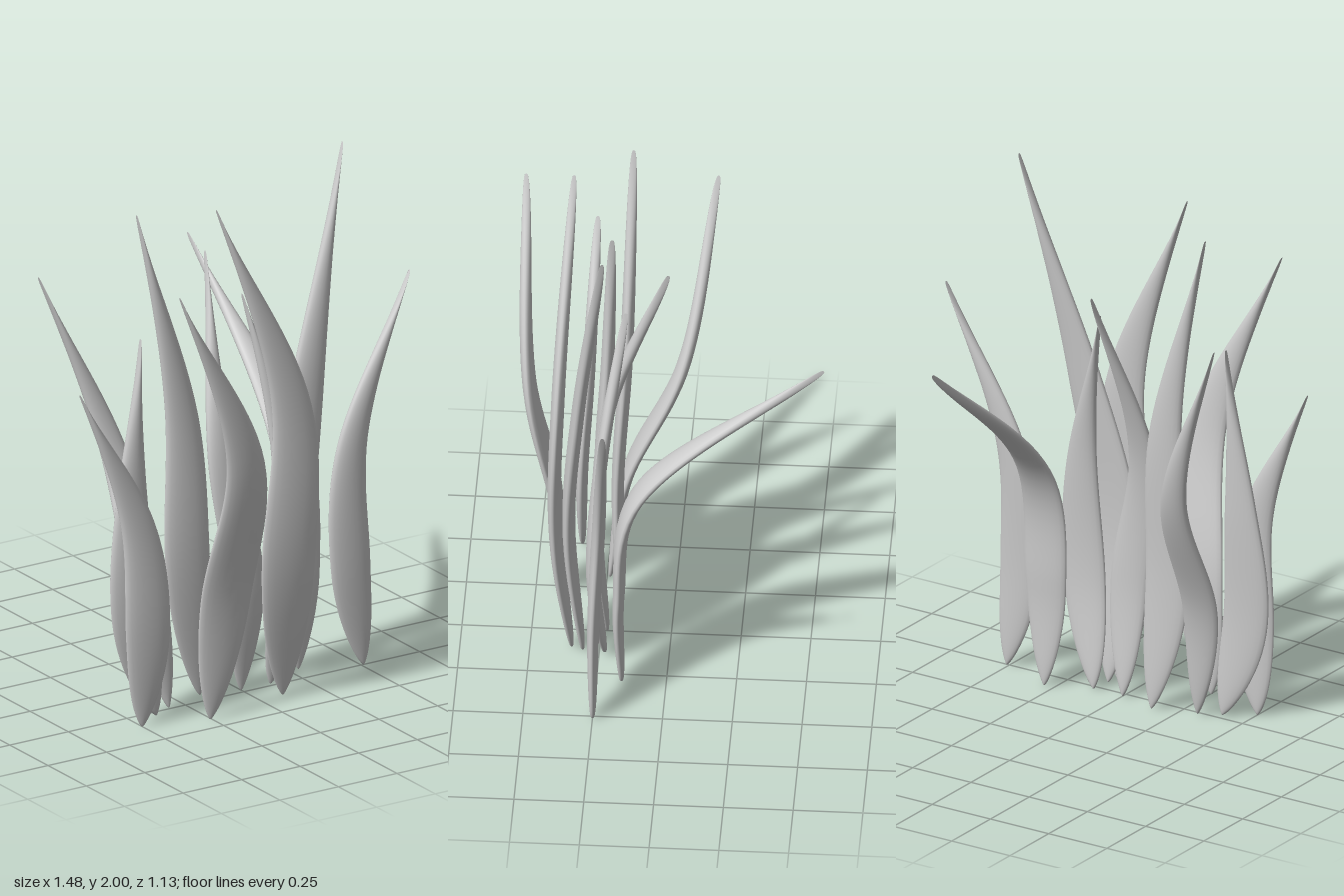
import * as THREE from 'three';

const RINGS = 56;
const SIDES = 20;
const THICKNESS = 0.048;

// Each blade: width, root x z, belly x z, shoulder x z, tip x y z
const BLADES = [
  [0.19, -0.50, 0.35, -0.475, 0.35, -0.505, 0.33, -0.74, 1.30, 0.31],
  [0.15, -0.315, 0.24, -0.365, 0.18, -0.385, -0.02, -0.63, 1.59, -0.13],
  [0.22, -0.255, 0.42, -0.19, 0.425, -0.17, 0.52, -0.47, 1.69, 0.55],
  [0.19, -0.395, 0.28, -0.49, 0.285, -0.485, 0.26, -0.435, 1.43, 0.24],
  [0.19, -0.15, 0.19, -0.21, 0.205, -0.22, 0.175, -0.40, 1.87, 0.16],
  [0.23, 0.10, 0.35, 0.085, 0.41, 0.105, 0.40, -0.19, 1.91, 0.36],
  [0.16, 0.0, 0.23, -0.005, 0.265, -0.085, 0.23, -0.01, 1.61, 0.01],
  [0.18, 0.125, 0.23, 0.19, 0.27, 0.185, 0.245, 0.05, 1.48, 0.16],
  [0.20, 0.115, 0.31, 0.11, 0.36, 0.225, 0.32, 0.44, 2.0, 0.22],
  [0.17, 0.51, 0.25, 0.455, 0.25, 0.475, 0.23, 0.74, 1.445, 0.20],
  [0.18, 0.29, 0.16, 0.29, 0.17, 0.29, 0.105, 0.29, 1.44, -0.565],
];

// Centre line: belly and shoulder sit at fixed fractions of the blade's height
function centreLine(rootX, rootZ, bellyX, bellyZ, shoulderX, shoulderZ, tipX, tipY, tipZ) {
  return new THREE.CatmullRomCurve3([
    new THREE.Vector3(rootX, 0, rootZ),
    new THREE.Vector3(bellyX, tipY * 0.27, bellyZ),
    new THREE.Vector3(shoulderX, tipY * 0.58, shoulderZ),
    new THREE.Vector3(tipX, tipY, tipZ),
  ], false, 'centripetal');
}

// Sweeps a flattened oval along the centre line, broad face turned to the front
function bladeGeometry(width, curve) {
  const positions = [];
  const index = [];
  for (let i = 0; i <= RINGS; i++) {
    // Rings crowd towards both ends; the blade is widest about a third of the way up
    const t = (1 - Math.cos((i / RINGS) * Math.PI)) / 2;
    const halfWidth = (width / 2) * Math.sin(Math.PI * t ** 0.58) ** 1.3;
    const halfDepth = (THICKNESS / 2) * Math.sin(Math.PI * t) ** 0.3;
    const centre = curve.getPointAt(t);
    const along = curve.getTangentAt(t);
    const side = new THREE.Vector3(1, 0, 0).addScaledVector(along, -along.x).normalize();
    const face = new THREE.Vector3().crossVectors(side, along);
    for (let j = 0; j < SIDES; j++) {
      const angle = (j / SIDES) * Math.PI * 2;
      const p = centre.clone()
        .addScaledVector(side, Math.cos(angle) * halfWidth)
        .addScaledVector(face, Math.sin(angle) * halfDepth);
      positions.push(p.x, p.y, p.z);
      if (i < RINGS) {
        const a = i * SIDES + j;
        const b = i * SIDES + (j + 1) % SIDES;
        index.push(a, a + SIDES, b, b, a + SIDES, b + SIDES);
      }
    }
  }
  const geometry = new THREE.BufferGeometry();
  geometry.setAttribute('position', new THREE.Float32BufferAttribute(positions, 3));
  geometry.setIndex(index);
  geometry.computeVertexNormals();
  return geometry;
}

export function createModel() {
  const group = new THREE.Group();
  group.name = 'grassTuft';
  const material = new THREE.MeshStandardMaterial({ color: 0xcccccc });
  BLADES.forEach(([width, ...path], i) => {
    const mesh = new THREE.Mesh(bladeGeometry(width, centreLine(...path)), material);
    mesh.name = `grassBlade${i + 1}`;
    group.add(mesh);
  });
  return group;
}
